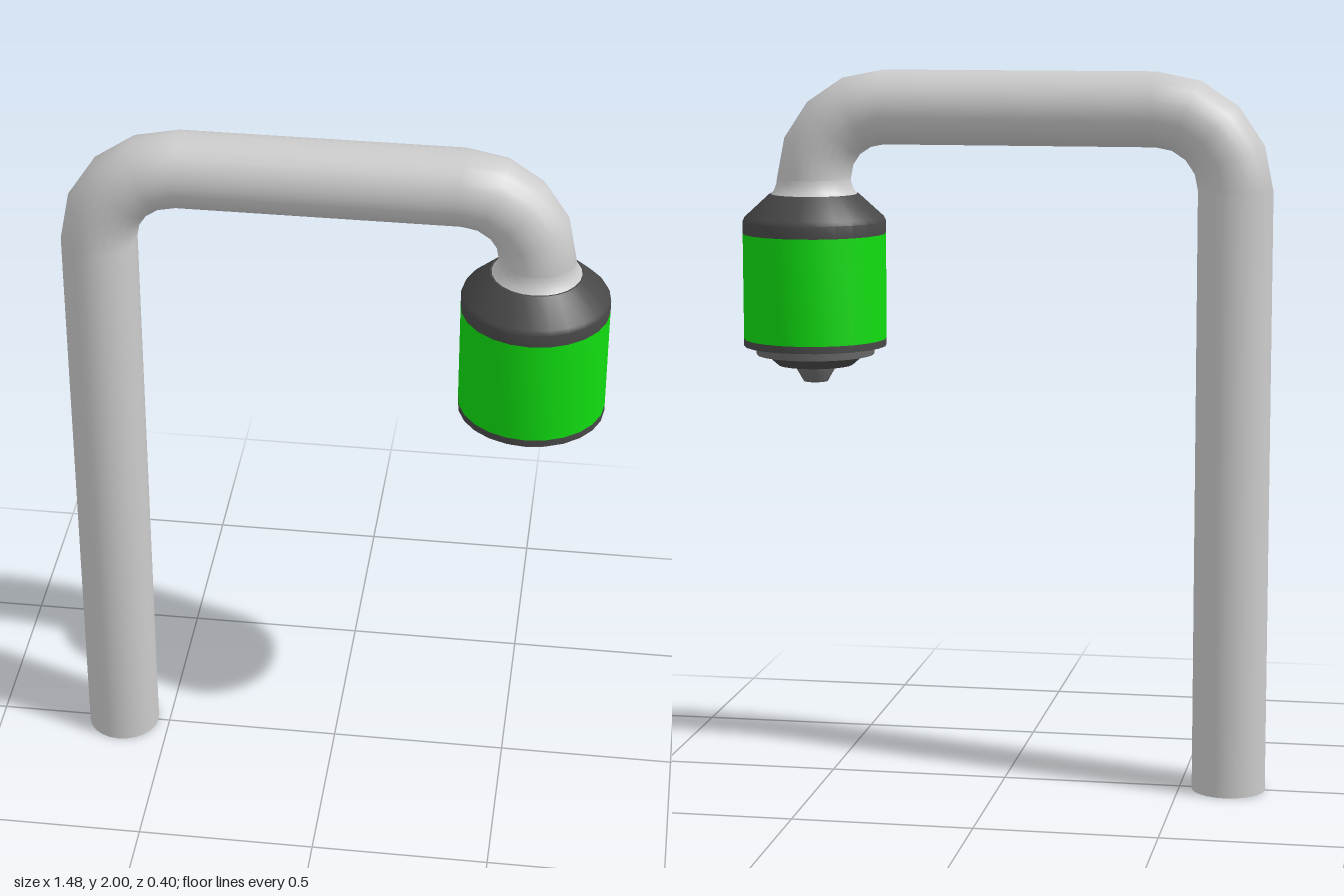
import * as THREE from 'three';
import { toCreasedNormals } from 'three/addons/utils/BufferGeometryUtils.js';

const PIPE_R = 0.103, SIDES = 24, BEND_STEPS = 4;
const POST_X = -0.637, HEAD_X = 0.54, ARM_Y = 1.897;
const BEND_L = 0.22, BEND_R = 0.2;

const paint = (color) => new THREE.MeshStandardMaterial({ color, side: THREE.DoubleSide });

function add(parent, name, geometry, material, x = 0, y = 0) {
  const mesh = new THREE.Mesh(geometry, material);
  mesh.name = name;
  mesh.position.set(x, y, 0);
  parent.add(mesh);
  return mesh;
}

// Turned part from [radius, height] pairs, listed bottom to top
function turned(points, crease = 0.5) {
  const profile = points.map(([r, y]) => new THREE.Vector2(r, y));
  return toCreasedNormals(new THREE.LatheGeometry(profile, SIDES), crease);
}

export function createModel() {
  const model = new THREE.Group();
  const grey = paint(0xcccccc), dark = paint(0x484848), mid = paint(0x6a6a6a), green = paint(0x10dd10);

  // Bent pipe: post, corner, arm, corner, flared collar
  const pipe = new THREE.Group();
  pipe.name = 'pipe';
  model.add(pipe);

  const postTop = ARM_Y - BEND_L;
  add(pipe, 'post', turned([[0, 0], [PIPE_R, 0], [PIPE_R, postTop]]), grey, POST_X);

  const bend = (radius) => new THREE.TorusGeometry(radius, PIPE_R, SIDES, BEND_STEPS, Math.PI / 2);
  add(pipe, 'postBend', bend(BEND_L).rotateZ(Math.PI / 2), grey, POST_X + BEND_L, postTop);
  add(pipe, 'headBend', bend(BEND_R), grey, HEAD_X - BEND_R, ARM_Y - BEND_R);

  const armStart = POST_X + BEND_L, armEnd = HEAD_X - BEND_R;
  const arm = new THREE.CylinderGeometry(PIPE_R, PIPE_R, armEnd - armStart, SIDES, 1, true);
  add(pipe, 'arm', arm.rotateZ(Math.PI / 2), grey, (armStart + armEnd) / 2, ARM_Y);

  add(pipe, 'collar', turned([[0.125, 1.65], [0.112, 1.664], [0.104, 1.685], [PIPE_R, ARM_Y - BEND_R]], 1),
    grey, HEAD_X);

  // Hanging head, stacked from top to bottom
  const head = new THREE.Group();
  head.name = 'head';
  head.position.x = HEAD_X;
  model.add(head);

  add(head, 'shoulder', turned([[0.2, 1.545], [0.2, 1.58], [0.194, 1.592], [0.125, 1.655], [0, 1.655]]), dark);
  add(head, 'body', turned([[0.2, 1.25], [0.2, 1.545]]), green);
  add(head, 'lowerRim', turned([[0.165, 1.23], [0.2, 1.23], [0.2, 1.25]]), dark);
  add(head, 'lowerDisc', turned([[0.14, 1.205], [0.165, 1.205], [0.168, 1.23]]), mid);
  add(head, 'lowerCone', turned([[0.055, 1.175], [0.105, 1.175], [0.14, 1.205]]), dark);
  add(head, 'nozzle', turned([[0.024, 1.128], [0.034, 1.128], [0.055, 1.165], [0.057, 1.175]]), mid);
  add(head, 'nozzleTip', turned([[0, 1.129], [0.025, 1.129]]), green);

  return model;
}
